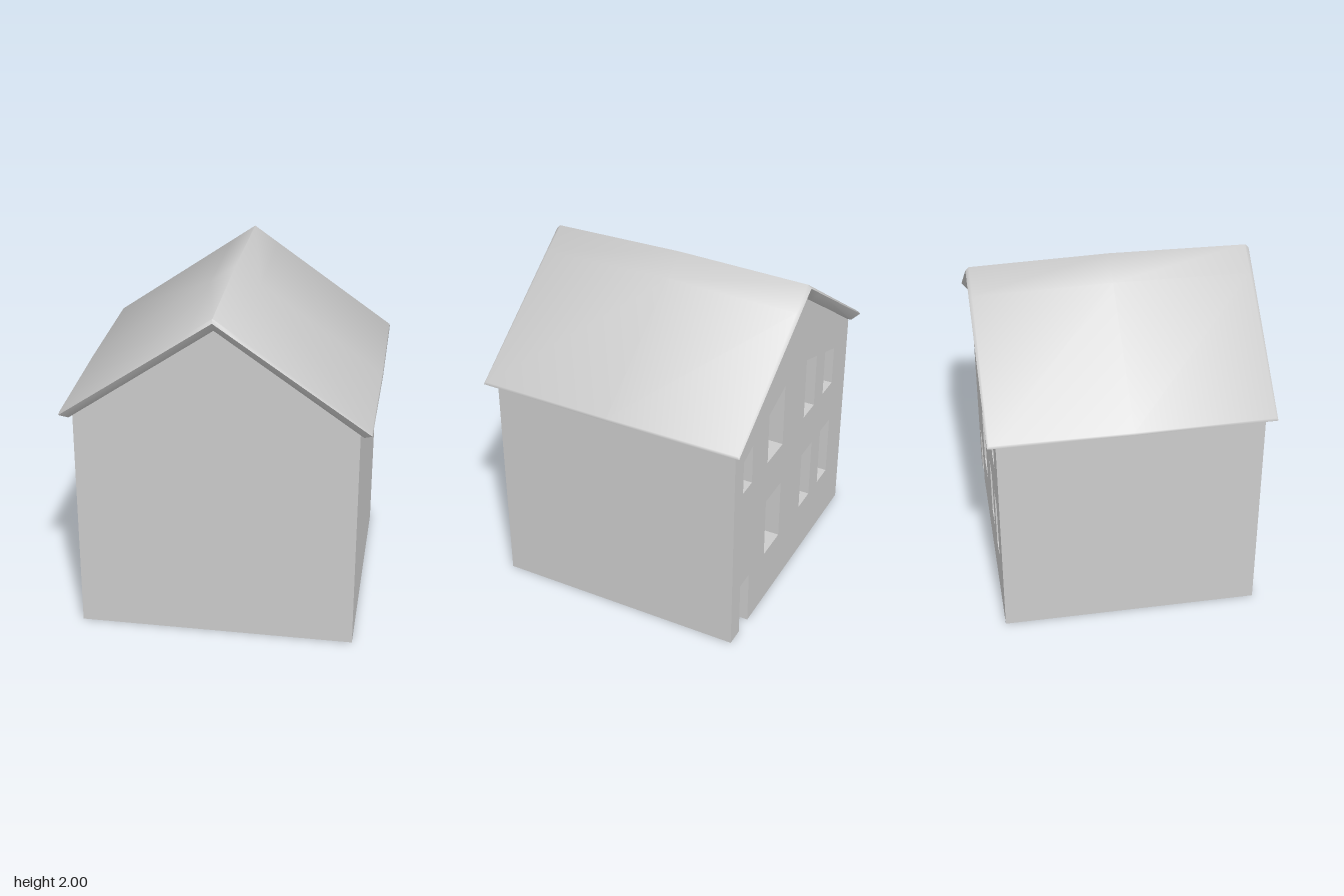
import * as THREE from 'three';
import { toCreasedNormals } from 'three/addons/utils/BufferGeometryUtils.js';

const material = new THREE.MeshStandardMaterial({ color: 0xcccccc });
const WALL_X = 0.8, WALL_Z = 0.75, BACK_LAYER = 0.1;

function part(name, geometry) {
  const mesh = new THREE.Mesh(geometry, material);
  mesh.name = name;
  return mesh;
}

const points = (list) => list.map(([x, y]) => new THREE.Vector2(x, y));

// Upright slab: a shape in x/y, running from z0 to z1
function slab(shape, z0, z1) {
  return new THREE.ExtrudeGeometry(shape, { depth: z1 - z0, bevelEnabled: false }).translate(0, 0, z0);
}

// Upper window heads slope along with the roof
const slopedHead = (x) => 1.46 - 0.35 * Math.abs(x);
const flatHead = () => 0.735;

function opening(x0, x1, sill, head) {
  return points([[x0, sill], [x1, sill], [x1, head(x1)], [x0, head(x0)]]);
}

// One tapering roof: rings across z, swept from eave to ridge to eave
function roofGeometry() {
  const columns = [-1, -0.17, 0, 0.17, 1];
  const ringSize = 7;
  const position = [], index = [];
  for (const c of columns) {
    const t = Math.abs(c);
    const yTop = 1.985 - 0.605 * t, yMid = 1.965 - 0.6 * t, yLow = 1.905 - 0.57 * t;
    const zMid = 0.81 - 0.01 * t;
    position.push(
      0.862 * c, yTop, 0.79,
      0.868 * c, yTop + 0.015 * (1 - t), 0,
      0.862 * c, yTop, -0.79,
      0.866 * c, yMid, -zMid,
      0.82 * c, yLow, -0.76,
      0.82 * c, yLow, 0.76,
      0.866 * c, yMid, zMid,
    );
  }
  for (let i = 0; i < columns.length - 1; i++) {
    for (let j = 0; j < ringSize; j++) {
      const a = i * ringSize + j, b = i * ringSize + (j + 1) % ringSize;
      index.push(a, a + ringSize, b, b, a + ringSize, b + ringSize);
    }
  }
  // Eave ends, as fans around a slightly swollen middle
  for (const [side, start] of [[-1, 0], [1, (columns.length - 1) * ringSize]]) {
    const centre = position.length / 3;
    position.push(0.872 * side, 1.365, 0);
    for (let j = 0; j < ringSize; j++) {
      const a = start + j, b = start + (j + 1) % ringSize;
      if (side < 0) index.push(centre, a, b);
      else index.push(centre, b, a);
    }
  }
  const geometry = new THREE.BufferGeometry();
  geometry.setAttribute('position', new THREE.Float32BufferAttribute(position, 3));
  geometry.setIndex(index);
  return toCreasedNormals(geometry, THREE.MathUtils.degToRad(73));
}

export function createModel() {
  const house = new THREE.Group();
  house.name = 'house';

  // Solid body, up to the bottom of the deepest recess
  const gableTop = [[WALL_X, 0], [WALL_X, 1.345], [0, 1.91], [-WALL_X, 1.345], [-WALL_X, 0]];
  const backInner = -WALL_Z + BACK_LAYER;
  house.add(part('body', slab(new THREE.Shape(points(gableTop)), backInner, WALL_Z)));

  // Back wall with a doorway notch and window holes
  const door = { x0: 0.575, x1: 0.69, top: 0.345 };
  const backWall = new THREE.Shape(points([
    ...gableTop, [door.x0, 0], [door.x0, door.top], [door.x1, door.top], [door.x1, 0],
  ]));

  // Window columns: x range, recess depth, and whether there is a lower window
  const windowColumns = [
    [0.575, 0.69, 0.065, false],
    [0.158, 0.366, 0.1, true],
    [-0.303, -0.149, 0.065, true],
    [-0.583, -0.438, 0.065, true],
  ];
  const addPane = (name, outline, depth) => {
    if (depth < BACK_LAYER) {
      house.add(part(name, slab(new THREE.Shape(outline), -WALL_Z + depth, backInner)));
    }
  };
  for (const [x0, x1, depth, hasLower] of windowColumns) {
    const outlines = [opening(x0, x1, 1.01, slopedHead)];
    if (hasLower) outlines.push(opening(x0, x1, 0.345, flatHead));
    for (const outline of outlines) {
      backWall.holes.push(new THREE.Path(outline));
      addPane('windowPane', outline, depth);
    }
  }
  addPane('door', opening(door.x0, door.x1, 0, () => door.top), 0.055);
  house.add(part('backWall', slab(backWall, -WALL_Z, backInner)));

  house.add(part('roof', roofGeometry()));
  return house;
}
